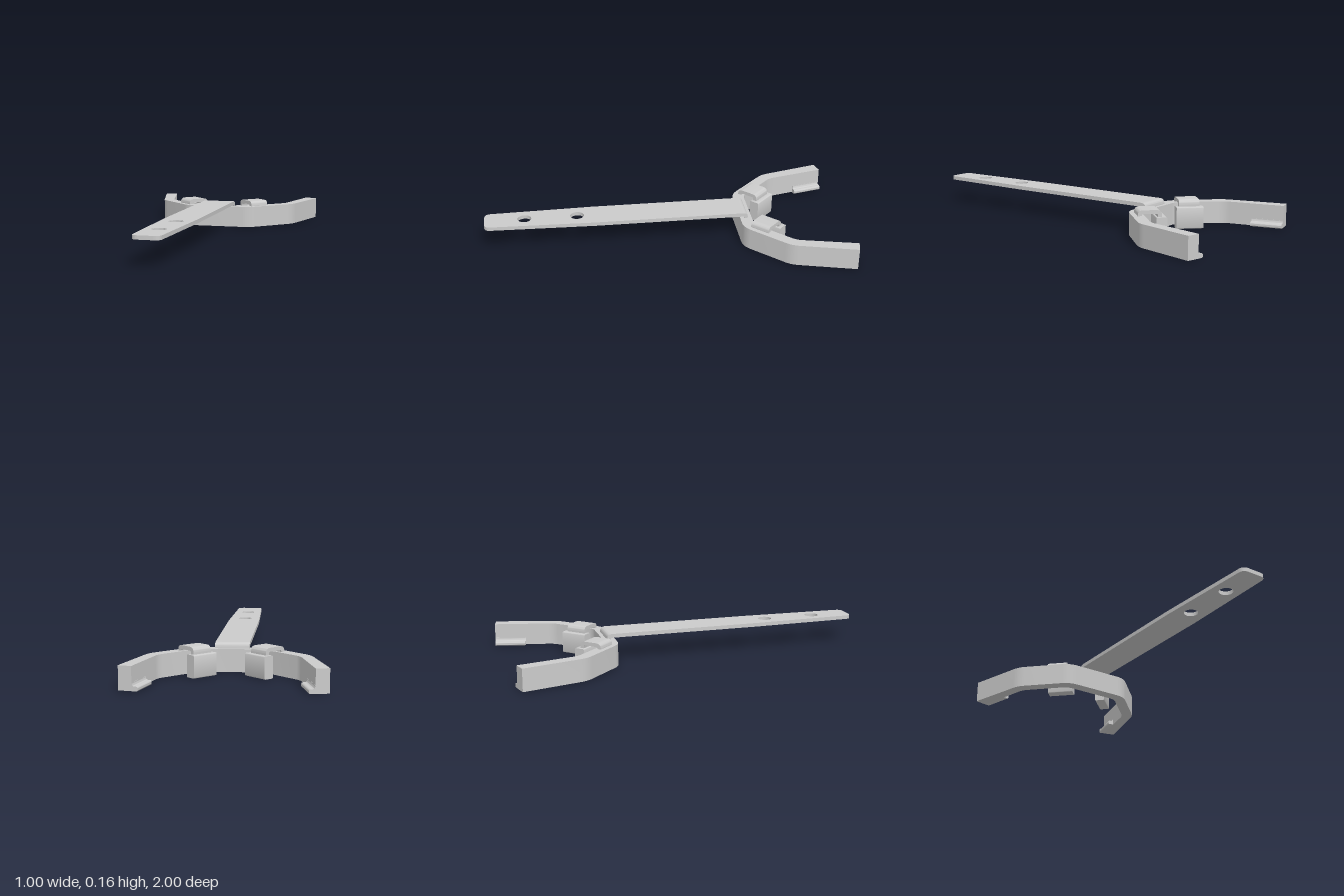
import * as THREE from 'three';
import { toCreasedNormals } from 'three/addons/utils/BufferGeometryUtils.js';

const material = new THREE.MeshStandardMaterial({ color: 0xcccccc });

// Closed outline from [x, y, cornerRadius] points
function roundedShape(points) {
  const shape = new THREE.Shape();
  const n = points.length;
  points.forEach(([x, y, r = 0], i) => {
    const p = new THREE.Vector2(x, y);
    const toward = ([qx, qy]) => new THREE.Vector2(qx, qy).sub(p).setLength(r).add(p);
    const a = toward(points[(i + n - 1) % n]);
    const b = toward(points[(i + 1) % n]);
    if (i === 0) shape.moveTo(a.x, a.y);
    else shape.lineTo(a.x, a.y);
    if (r > 0) shape.quadraticCurveTo(x, y, b.x, b.y);
  });
  shape.closePath();
  return shape;
}

function extrude(shape, depth) {
  return new THREE.ExtrudeGeometry(shape, { depth, bevelEnabled: false, curveSegments: 16 });
}

function makeMesh(name, geometry) {
  const mesh = new THREE.Mesh(toCreasedNormals(geometry, 0.6), material);
  mesh.name = name;
  return mesh;
}

// Plan outline (x, -z) raised from y0 to y1
function plate(name, shape, y0, y1) {
  return makeMesh(name, extrude(shape, y1 - y0).rotateX(-Math.PI / 2).translate(0, y0, 0));
}

// Side profile (x, y) swept along z, centred
function sweep(name, shape, width) {
  return makeMesh(name, extrude(shape, width).translate(0, 0, -width / 2));
}

export function createModel() {
  const group = new THREE.Group();

  // Open yoke: outer edge, then the inner edge back
  const outer = [[0.19, 0.413, 0.05], [0.41, 0.635, 0.04], [0.5, 0.98]];
  const inner = [[0.433, 0.997], [0.357, 0.672, 0.03], [0.165, 0.478, 0.03]];
  const half = [...outer, ...inner];
  const mirrored = half.map(([x, y, r]) => [-x, y, r]).reverse();
  group.add(plate('yoke', roundedShape([...half, ...mirrored]), 0.004, 0.125));

  // Flat tapered handle with two holes
  const bar = roundedShape([
    [-0.09, 0.425], [-0.09, -0.4], [-0.073, -1, 0.035],
    [0.073, -1, 0.035], [0.09, -0.4], [0.09, 0.425],
  ]);
  for (const z of [0.49, 0.78]) {
    bar.holes.push(new THREE.Path().absarc(0, -z, 0.038, 0, Math.PI * 2, true));
  }
  group.add(plate('handle', bar, 0.134, 0.155));

  // Bend joining the handle to the top of the yoke
  const bend = roundedShape([
    [0.425, 0.155], [0.425, 0.134], [0.436, 0.134, 0.008],
    [0.436, 0.122], [0.457, 0.122], [0.457, 0.155, 0.028],
  ]);
  const handleBend = sweep('handleBend', bend, 0.18);
  handleBend.rotation.y = Math.PI / 2;
  group.add(handleBend);

  // Arched strap, from the yoke's top over to the pad (x points inward)
  const strap = roundedShape([
    [0.185, 0.122], [0.206, 0.122], [0.206, 0.135, 0.009], [0.29, 0.135, 0.009],
    [0.29, 0.115], [0.311, 0.115], [0.311, 0.155, 0.028], [0.185, 0.155, 0.028],
  ]);
  const pad = roundedShape([[0.28, 0, 0.006], [0.336, 0, 0.006], [0.336, 0.118, 0.006], [0.28, 0.118, 0.006]]);

  // Small inward lip with a fillet at the foot of each arm
  const lip = roundedShape([
    [-0.01, 0.004], [0.03, 0.004, 0.008], [0.03, 0.027, 0.01],
    [0, 0.027, 0.014], [0, 0.045], [-0.01, 0.045],
  ]);

  for (const side of [1, -1]) {
    const label = side > 0 ? 'left' : 'right';
    const turn = (angle) => (side > 0 ? Math.PI - angle : angle);

    const clip = new THREE.Group();
    clip.name = label + 'Clip';
    clip.add(sweep('strap', strap, 0.113), sweep('pad', pad, 0.148));
    clip.position.set(side * 0.363, 0, -0.363);
    clip.rotation.y = turn(Math.PI / 4);
    group.add(clip);

    const armLip = sweep(label + 'ArmLip', lip, 0.172);
    armLip.position.set(side * 0.412, 0, -0.912);
    armLip.rotation.y = turn(0.23);
    group.add(armLip);
  }
  return group;
}
